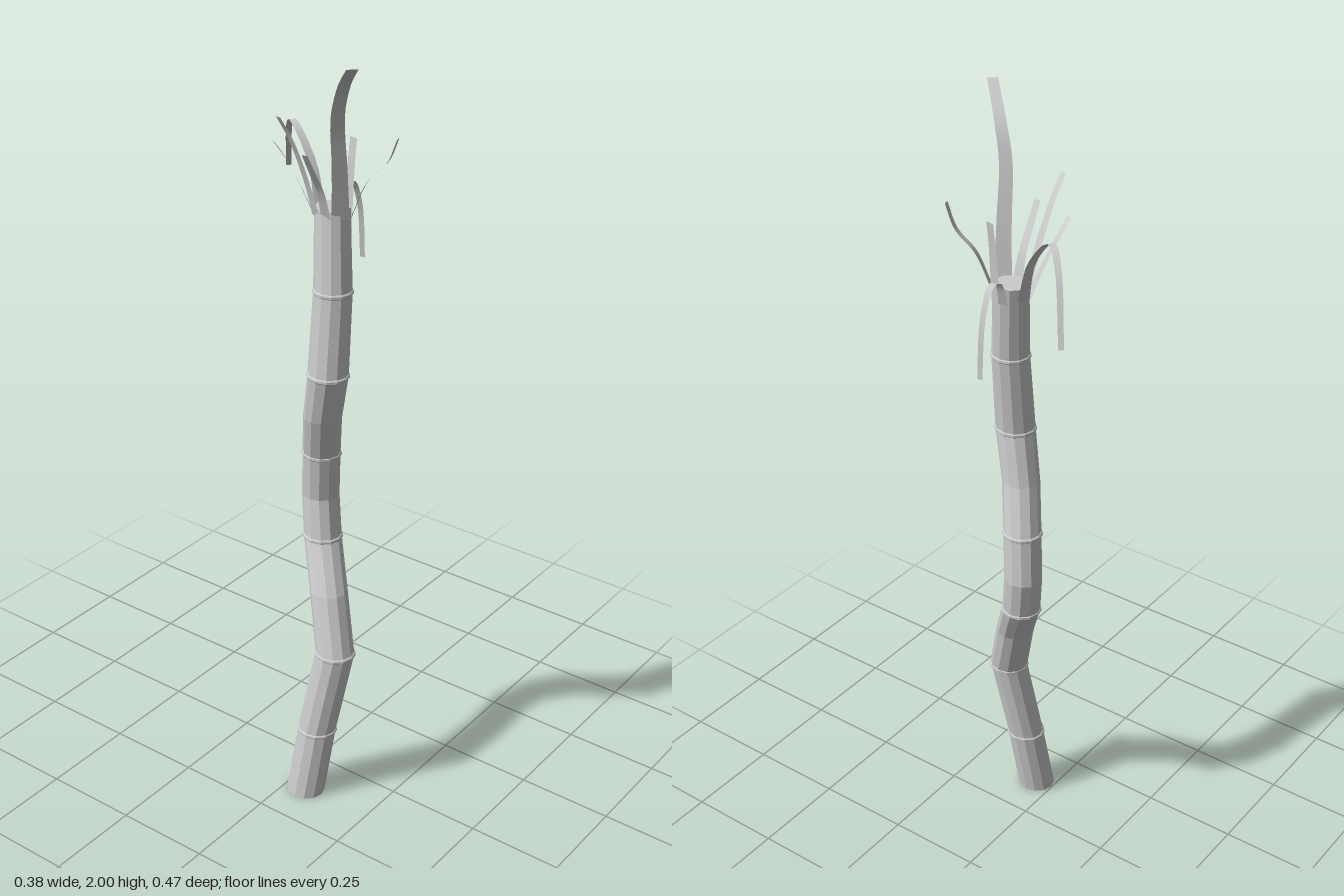
import * as THREE from 'three';

const material = new THREE.MeshStandardMaterial({ color: 0xcccccc, flatShading: true });
const leafMaterial = new THREE.MeshStandardMaterial({ color: 0xcccccc, side: THREE.DoubleSide });
const SIDES = 12;

// Stalk centre line: x, y, z, radius, and 1 where a node ring sits
const SPINE = [
  [-0.125, 0, 0.053, 0.048, 0], [-0.1, 0.19, 0.072, 0.047, 1], [-0.072, 0.425, 0.108, 0.048, 1],
  [-0.035, 0.58, 0.06, 0.047, 0], [0.014, 0.7, 0.004, 0.047, 1], [0.028, 0.81, -0.013, 0.046, 0],
  [0.015, 0.935, -0.001, 0.046, 1], [-0.022, 1.06, 0.03, 0.046, 0], [-0.043, 1.19, 0.062, 0.048, 1],
  [-0.022, 1.4, 0.06, 0.045, 1], [-0.001, 1.6, 0.042, 0.041, 0],
];

// Closed tube through horizontal rings [x, y, z, r]
function loft(rings) {
  const pos = [], idx = [];
  for (const [x, y, z, r] of rings) {
    for (let i = 0; i < SIDES; i++) {
      const a = (i / SIDES) * Math.PI * 2;
      pos.push(x + r * Math.cos(a), y, z + r * 1.06 * Math.sin(a));
    }
  }
  for (let k = 0; k < rings.length - 1; k++) {
    for (let i = 0; i < SIDES; i++) {
      const j = (i + 1) % SIDES;
      const a = k * SIDES + i, b = k * SIDES + j;
      idx.push(a, a + SIDES, b, b, a + SIDES, b + SIDES);
    }
  }
  const last = (rings.length - 1) * SIDES;
  for (let i = 1; i < SIDES - 1; i++) idx.push(0, i, i + 1, last, last + i + 1, last + i);
  const g = new THREE.BufferGeometry();
  g.setAttribute('position', new THREE.Float32BufferAttribute(pos, 3));
  g.setIndex(idx);
  g.computeVertexNormals();
  return g;
}

// Tapering ribbon along a curve, its width lying level across the outward direction
function ribbon(points, w0, w1) {
  const curve = new THREE.CatmullRomCurve3(points.map((p) => new THREE.Vector3(...p)));
  const steps = 14, pos = [], idx = [];
  const first = curve.getPoint(0), end = curve.getPoint(1);
  for (let i = 0; i <= steps; i++) {
    const t = i / steps, p = curve.getPoint(t);
    const d = curve.getTangent(t).setY(0).normalize().multiplyScalar(0.5);
    d.add(end.clone().sub(first).setY(0).normalize());
    const side = new THREE.Vector3(-d.z, 0, d.x).normalize();
    side.multiplyScalar(THREE.MathUtils.lerp(w0, w1, Math.sqrt(t)) / 2);
    pos.push(p.x - side.x, p.y, p.z - side.z, p.x + side.x, p.y, p.z + side.z);
    if (i < steps) idx.push(2 * i, 2 * i + 1, 2 * i + 2, 2 * i + 1, 2 * i + 3, 2 * i + 2);
  }
  const g = new THREE.BufferGeometry();
  g.setAttribute('position', new THREE.Float32BufferAttribute(pos, 3));
  g.setIndex(idx);
  g.computeVertexNormals();
  return g;
}

// Leaves: points from stalk to tip, base width, tip width
const LEAVES = [
  // tall front leaf
  [[[-0.02, 1.58, 0.08], [-0.05, 1.72, 0.098], [-0.085, 1.85, 0.118], [-0.115, 1.93, 0.155], [-0.182, 2, 0.227]], 0.045, 0.026],
  // long drooping back leaf
  [[[0.008, 1.57, 0], [0.025, 1.68, -0.035], [0.052, 1.76, -0.108], [0.105, 1.73, -0.165], [0.186, 1.59, -0.231]], 0.03, 0.013],
  // drooping side leaf
  [[[0.037, 1.56, 0.037], [0.06, 1.625, 0.033], [0.095, 1.632, 0.029], [0.132, 1.56, 0.025], [0.15, 1.42, 0.021]], 0.025, 0.013],
  // short leaves around the crown
  [[[0.012, 1.58, 0.087], [0.03, 1.67, 0.12], [0.044, 1.72, 0.165], [0.047, 1.78, 0.19]], 0.02, 0.015],
  [[[-0.036, 1.57, 0.052], [-0.06, 1.65, 0.053], [-0.095, 1.71, 0.055], [-0.125, 1.76, 0.057]], 0.03, 0.016],
  [[[-0.034, 1.58, 0.02], [-0.06, 1.68, 0.008], [-0.1, 1.78, -0.002], [-0.137, 1.84, -0.008]], 0.032, 0.016],
  [[[-0.015, 1.57, 0.002], [-0.04, 1.65, -0.022], [-0.065, 1.72, -0.047], [-0.09, 1.76, -0.058]], 0.036, 0.02],
  [[[0.024, 1.5, 0.065], [0.03, 1.6, 0.066], [0.036, 1.69, 0.067], [0.043, 1.76, 0.069]], 0.032, 0.024],
];

export function createModel() {
  const model = new THREE.Group();
  const add = (geometry, mat, name) => {
    const mesh = new THREE.Mesh(geometry, mat);
    mesh.name = name;
    model.add(mesh);
  };

  // Bent stalk
  add(loft(SPINE), material, 'stalk');

  // Narrow lips at the nodes
  for (const [x, y, z, r, node] of SPINE) {
    if (!node) continue;
    add(loft([
      [x, y - 0.006, z, r], [x, y - 0.003, z, r + 0.003],
      [x, y + 0.003, z, r + 0.003], [x, y + 0.006, z, r],
    ]), material, 'nodeRing');
  }

  // Crown of leaves
  for (const [points, w0, w1] of LEAVES) add(ribbon(points, w0, w1), leafMaterial, 'leaf');

  return model;
}
